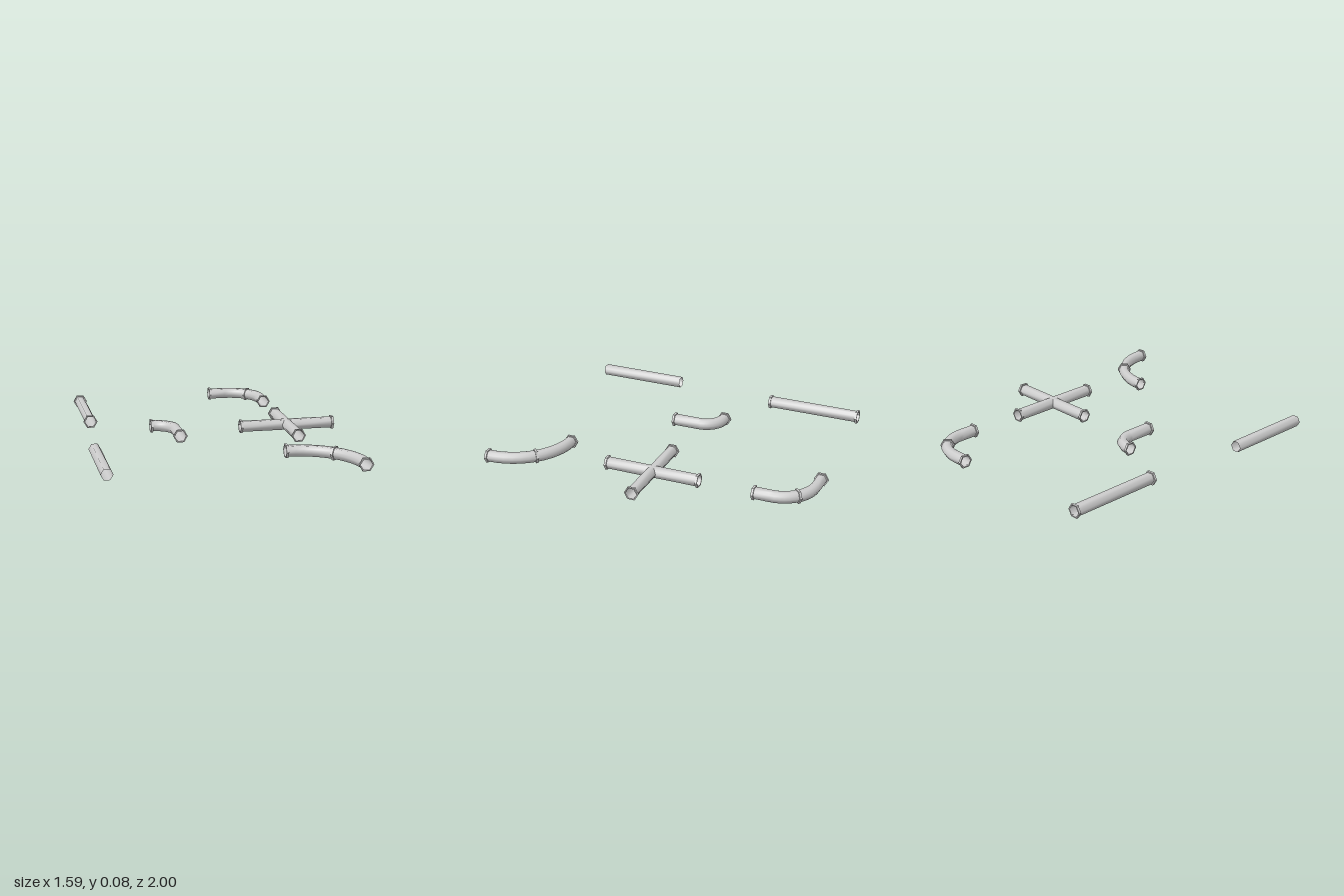
import * as THREE from 'three';

const PIPE_R = 0.036;    // pipe corner radius
const FLANGE_R = 0.0443; // flange corner radius
const FLANGE_T = 0.014;  // flange thickness
const Y = 0.0384;        // axis height

const pipeMat = new THREE.MeshStandardMaterial({ color: 0xcccccc, side: THREE.DoubleSide });
const flangeMat = new THREE.MeshStandardMaterial({ color: 0xcccccc, side: THREE.DoubleSide, flatShading: true });

// Hexagonal section with edge midpoints, corners pointing sideways
const SECTION = [];
for (let k = 0; k < 6; k++) {
  const a = (k * Math.PI) / 3, b = a + Math.PI / 3;
  const p = new THREE.Vector2(Math.cos(a), Math.sin(a)).multiplyScalar(PIPE_R);
  const q = new THREE.Vector2(Math.cos(b), Math.sin(b)).multiplyScalar(PIPE_R);
  SECTION.push(p, p.clone().add(q).multiplyScalar(0.5));
}

// Open tube along stations {x, z, t}; t is the heading from +x towards +z.
// A station marked mitre has its ring cut to a 90 degree point.
function pipe(name, stations) {
  const pos = [], idx = [], n = SECTION.length;
  stations.forEach(({ x, z, t, mitre }, j) => {
    const tx = Math.cos(t), tz = Math.sin(t);
    SECTION.forEach((s, i) => {
      const along = mitre ? Math.abs(s.x) : 0;
      pos.push(x + tz * s.x + tx * along, Y + s.y, z - tx * s.x + tz * along);
      if (j === 0) return;
      const a = (j - 1) * n + i, b = (j - 1) * n + ((i + 1) % n);
      idx.push(a, b, a + n, b, b + n, a + n);
    });
  });
  const geo = new THREE.BufferGeometry();
  geo.setAttribute('position', new THREE.Float32BufferAttribute(pos, 3));
  geo.setIndex(idx);
  geo.computeVertexNormals();
  const mesh = new THREE.Mesh(geo, pipeMat);
  mesh.name = name;
  return mesh;
}

// Hexagonal collar with an open bore, centred on a station
const h = FLANGE_T / 2;
const flangeGeo = new THREE.LatheGeometry(
  [[PIPE_R, -h], [FLANGE_R, -h], [FLANGE_R, h], [PIPE_R, h], [PIPE_R, -h]].map(([r, y]) => new THREE.Vector2(r, y)),
  6, Math.PI / 2).rotateX(Math.PI / 2);
function flange(x, z, t, name = 'endFlange') {
  const mesh = new THREE.Mesh(flangeGeo, flangeMat);
  mesh.position.set(x, Y, z);
  mesh.rotation.y = Math.PI / 2 - t;
  mesh.name = name;
  return mesh;
}

function group(name, ...parts) {
  const g = new THREE.Group();
  g.name = name;
  return g.add(...parts);
}

// Straight pipe along z
function straight(name, x, z0, z1, flanged) {
  const t = Math.PI / 2;
  const g = group(name, pipe('straightPipe', [{ x, z: z0, t }, { x, z: z1, t }]));
  if (flanged) g.add(flange(x, z0 + h, t), flange(x, z1 - h, t));
  return g;
}

// Quarter bend from (x0, z0) heading +x to (x1, z1) heading +z
function bend(name, x0, z0, x1, z1, r, midFlange) {
  const at = (t) => ({ x: x1 - r + r * Math.sin(t), z: z0 + r - r * Math.cos(t), t });
  const path = [{ x: x0, z: z0, t: 0 }];
  for (let i = 0; i <= 12; i++) path.push(at((i / 12) * Math.PI / 2));
  path.push({ x: x1, z: z1, t: Math.PI / 2 });
  const g = group(name, pipe('bentPipe', path), flange(x0 + h, z0, 0), flange(x1, z1 - h, Math.PI / 2));
  if (midFlange) {
    const m = at(Math.PI / 4);
    g.add(flange(m.x, m.z, m.t, 'middleFlange'));
  }
  return g;
}

// Four mitred arms meeting in the middle
function cross(name, x, z, arm) {
  const g = group(name);
  for (let k = 0; k < 4; k++) {
    const t = (k * Math.PI) / 2, c = Math.cos(t), s = Math.sin(t);
    g.add(pipe('crossArm', [{ x, z, t, mitre: true }, { x: x + c * arm, z: z + s * arm, t }]));
    g.add(flange(x + c * (arm - h), z + s * (arm - h), t));
  }
  return g;
}

export function createModel() {
  return group('pipeSet',
    straight('flangedPipe', -0.708, -0.91, -0.31, true),
    straight('plainPipe', -0.763, 0.35, 0.91, false),
    cross('crossJunction', 0.493, -0.005, 0.301),
    bend('smallBend', -0.354, -0.131, -0.215, 0.163, 0.12, false),
    bend('mediumBend', 0.188, -0.956, 0.502, -0.643, 0.205, true),
    bend('largeBend', 0.32, 0.62, 0.695, 1.0, 0.36, true));
}
